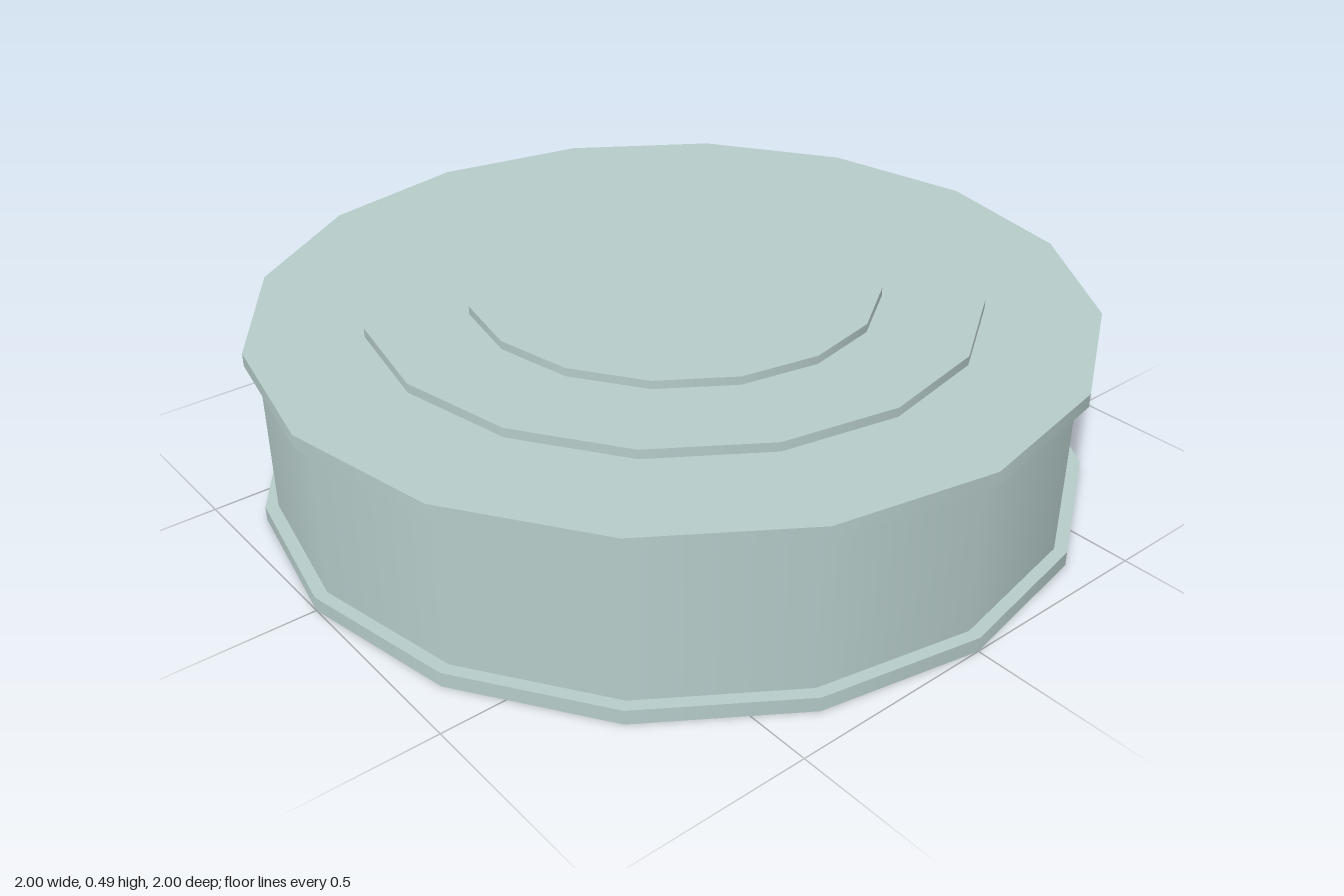
import * as THREE from 'three';

const SIDES = 16;

export function createModel() {
  const model = new THREE.Group();
  const material = new THREE.MeshStandardMaterial({ color: 0xb5cbc9 });

  // Stacked discs, from the ground up: name, radius, bottom, top
  const discs = [
    ['bottomRim', 1.0, 0, 0.035],
    ['drumBody', 0.97, 0.035, 0.413],
    ['topRim', 1.0, 0.413, 0.445],
    ['lowerLidStep', 0.73, 0.445, 0.467],
    ['upperLidStep', 0.49, 0.467, 0.487],
  ];

  for (const [name, radius, bottom, top] of discs) {
    const geometry = new THREE.CylinderGeometry(radius, radius, top - bottom, SIDES);
    const disc = new THREE.Mesh(geometry, material);
    disc.name = name;
    disc.position.y = (bottom + top) / 2;
    model.add(disc);
  }
  return model;
}
